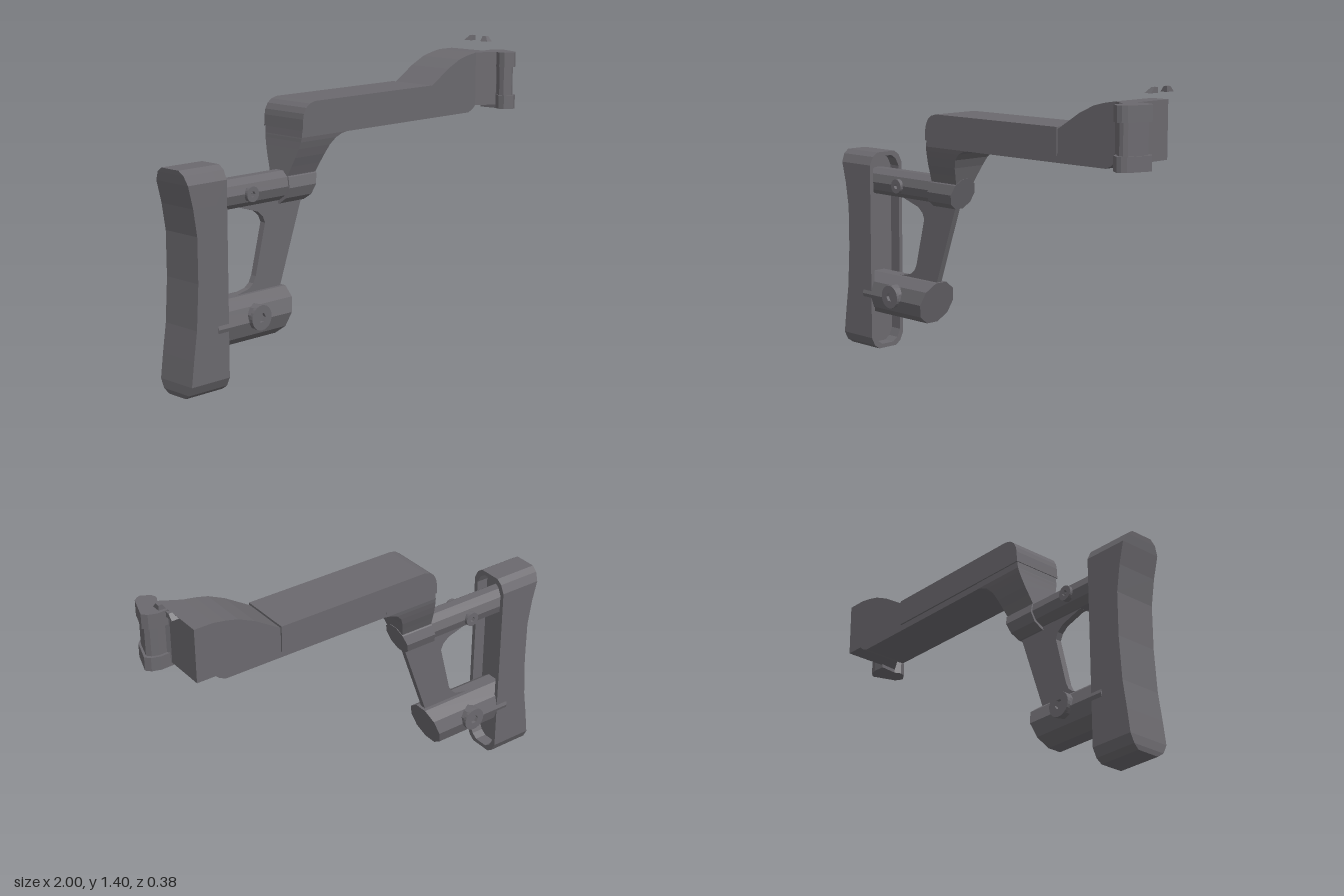
import * as THREE from 'three';

const MID = -0.06; // centre plane of the stock in z

export function createModel() {
  const group = new THREE.Group();
  const mat = new THREE.MeshStandardMaterial({ color: 0x6b696e, flatShading: true });
  mat.name = 'dark grey polymer';

  const add = (name, geo) => {
    const mesh = new THREE.Mesh(geo, mat);
    mesh.name = name;
    group.add(mesh);
    return mesh;
  };
  const shapeOf = (pts) => new THREE.Shape(pts.map((p) => new THREE.Vector2(p[0], p[1])));
  const extrude = (shape, depth) => new THREE.ExtrudeGeometry(shape, { depth, bevelEnabled: false });

  // side profile (x, y) extruded between z0 and z1
  const sidePlate = (name, pts, z0, z1) => add(name, extrude(shapeOf(pts), z1 - z0).translate(0, 0, z0));

  // plan profile (x, z) extruded between y0 and y1
  const planBlock = (name, pts, y0, y1) =>
    add(name, extrude(shapeOf(pts.map(([x, z]) => [x, -z])), y1 - y0).rotateX(-Math.PI / 2).translate(0, y0, 0));

  // stacked rectangular sections [y, x0, x1, half width]
  const loft = (name, rows) => {
    const pos = [];
    const quad = (...q) => [0, 1, 2, 0, 2, 3].forEach((i) => pos.push(...q[i]));
    const rings = rows.map(([y, x0, x1, w]) => [
      [x0, y, MID + w], [x1, y, MID + w], [x1, y, MID - w], [x0, y, MID - w],
    ]);
    for (let r = 0; r < rings.length - 1; r++) {
      for (let i = 0; i < 4; i++) {
        const j = (i + 1) % 4;
        quad(rings[r][i], rings[r][j], rings[r + 1][j], rings[r + 1][i]);
      }
    }
    quad(...rings[rings.length - 1]);
    quad(...[...rings[0]].reverse());
    const geo = new THREE.BufferGeometry();
    geo.setAttribute('position', new THREE.Float32BufferAttribute(pos, 3));
    geo.computeVertexNormals();
    return add(name, geo);
  };

  // ten-sided tube along x whose ends lean by k0 and k1
  const tube = (name, x0, x1, cy, radius, k0, k1) => {
    const geo = new THREE.CylinderGeometry(radius, radius, 1, 10).rotateZ(-Math.PI / 2);
    const p = geo.attributes.position;
    for (let i = 0; i < p.count; i++) {
      p.setX(i, p.getX(i) < 0 ? x0 + k0 * p.getY(i) : x1 + k1 * p.getY(i));
    }
    geo.translate(0, cy, MID);
    geo.computeVertexNormals();
    return add(name, geo);
  };

  // Butt pad: hollowed front rim and curved back
  const rimX = -0.78, floorX = -0.84;
  const pad = [
    [0, -0.985, 0.055], [0.02, -0.99, 0.083], [0.06, -0.99, 0.1025], [0.17, -0.976, 0.1025],
    [0.3, -0.957, 0.1025], [0.5, -0.945, 0.1025], [0.7, -0.946, 0.1025], [0.82, -0.965, 0.1025],
    [0.92, -0.99, 0.1025], [0.96, -0.997, 0.083], [0.98, -1, 0.055],
  ];
  loft('buttPad', pad.map(([y, x, w]) => [y, x, floorX, w]));
  const outline = (inset) => {
    const side = pad.map(([y, , w]) => [w - inset, 0.49 + (y - 0.49) * (1 - inset / 0.49)]);
    return [...side, ...side.map(([z, y]) => [-z, y]).reverse()];
  };
  const rim = shapeOf(outline(0));
  rim.holes.push(shapeOf(outline(0.02)));
  add('buttPadRim', extrude(rim, rimX - floorX).rotateY(Math.PI / 2).translate(floorX, 0, MID));

  // Tubes joining the pad to the neck
  tube('lowerTube', floorX, -0.418, 0.281, 0.108, 0, 0.31);
  tube('upperTube', floorX, -0.38, 0.835, 0.068, 0, 0);
  tube('neckCollar', -0.397, -0.235, 0.828, 0.077, 0.17, 0.34);

  // Cross bolts with hex sockets at both ends
  const bolt = (name, y, radius, half) => {
    const core = new THREE.CylinderGeometry(radius, radius, 2 * half - 0.03, 10).rotateX(Math.PI / 2);
    add(name, core.translate(-0.615, y, MID));
    const ring = new THREE.Shape().absarc(0, 0, radius, 0, Math.PI * 2);
    const hex = [];
    for (let i = 0; i < 6; i++) {
      hex.push([Math.cos(i * Math.PI / 3) * radius * 0.4, Math.sin(i * Math.PI / 3) * radius * 0.4]);
    }
    ring.holes.push(shapeOf(hex));
    for (const s of [-1, 1]) {
      const geo = new THREE.ExtrudeGeometry(ring, { depth: 0.015, bevelEnabled: false, curveSegments: 12 });
      geo.translate(-0.615, y, MID + (s > 0 ? half - 0.015 : -half));
      add(name + 'Head', geo);
    }
  };
  bolt('lowerBolt', 0.297, 0.056, 0.13);
  bolt('upperBolt', 0.832, 0.034, 0.082);

  // Thin web between the tubes
  sidePlate('web', [
    [-0.74, 0.3], [-0.43, 0.3], [-0.4, 0.385], [-0.265, 0.77], [-0.28, 0.83], [-0.64, 0.83],
    [-0.64, 0.77], [-0.53, 0.735], [-0.5, 0.71], [-0.487, 0.68], [-0.545, 0.45], [-0.56, 0.42],
    [-0.585, 0.4], [-0.65, 0.385], [-0.74, 0.38],
  ], MID - 0.015, MID + 0.015);

  // Neck narrowing down into the collar
  loft('neck', [
    [0.83, -0.397, -0.237, 0.05], [0.88, -0.388, -0.22, 0.057], [0.92, -0.381, -0.207, 0.073],
    [0.96, -0.374, -0.194, 0.09], [1.0, -0.367, -0.175, 0.104], [1.03, -0.362, -0.145, 0.113],
    [1.045, -0.36, -0.11, 0.116], [1.05, -0.359, -0.08, 0.117], [1.1, -0.354, -0.08, 0.117],
  ]);

  // Main arm rising to the hinge block
  sidePlate('arm', [
    [-0.354, 1.05], [0.75, 1.05], [0.78, 1.063], [0.8, 1.08], [0.89, 1.08], [0.89, 1.335],
    [0.8, 1.335], [0.74, 1.325], [0.68, 1.31], [0.6, 1.273], [0.475, 1.195], [-0.25, 1.195], [-0.354, 1.1],
  ], MID - 0.115, 0.03);
  sidePlate('armFront', [
    [-0.354, 1.05], [0.75, 1.05], [0.78, 1.063], [0.8, 1.08], [0.8, 1.335], [0.74, 1.325],
    [0.68, 1.31], [0.6, 1.273], [0.475, 1.195], [-0.25, 1.195], [-0.354, 1.1],
  ], 0.03, MID + 0.117);

  // Cheek cover
  sidePlate('cheekCover', [
    [-0.36, 1.08], [0.475, 1.08], [0.475, 1.205], [-0.285, 1.205], [-0.315, 1.197],
    [-0.338, 1.18], [-0.352, 1.155], [-0.357, 1.13],
  ], MID - 0.123, MID + 0.123);

  // Hinge: web, barrel and two knuckles
  planBlock('hingeWeb', [[0.8, 0.057], [0.89, 0.11], [0.92, 0.06], [0.89, 0.02], [0.8, 0.02]], 1.08, 1.335);
  const knuckle = [
    [0.88, 0.025], [0.94, 0.022], [0.98, 0.035], [1, 0.057], [0.963, 0.168], [0.945, 0.184],
    [0.925, 0.19], [0.885, 0.165], [0.876, 0.14], [0.89, 0.11],
  ];
  planBlock('upperKnuckle', knuckle, 1.265, 1.335);
  planBlock('lowerKnuckle', knuckle, 1.063, 1.128);
  planBlock('hingeBarrel', knuckle.map(([x, z]) => [0.932 + (x - 0.932) * 0.8, 0.1 + (z - 0.1) * 0.84]), 1.12, 1.27);

  // Two small catches above the hinge block
  for (const s of [-1, 1]) {
    const geo = new THREE.BoxGeometry(0.034, 0.024, 0.044);
    const p = geo.attributes.position;
    for (let i = 0; i < p.count; i++) {
      if (p.getY(i) < 0) continue;
      if (p.getX(i) < 0) p.setX(i, 0);
      if (p.getZ(i) * s > 0) p.setZ(i, 0);
    }
    geo.computeVertexNormals();
    add('catch', geo.translate(0.942, 1.387, -0.051 + s * 0.051));
  }
  return group;
}
